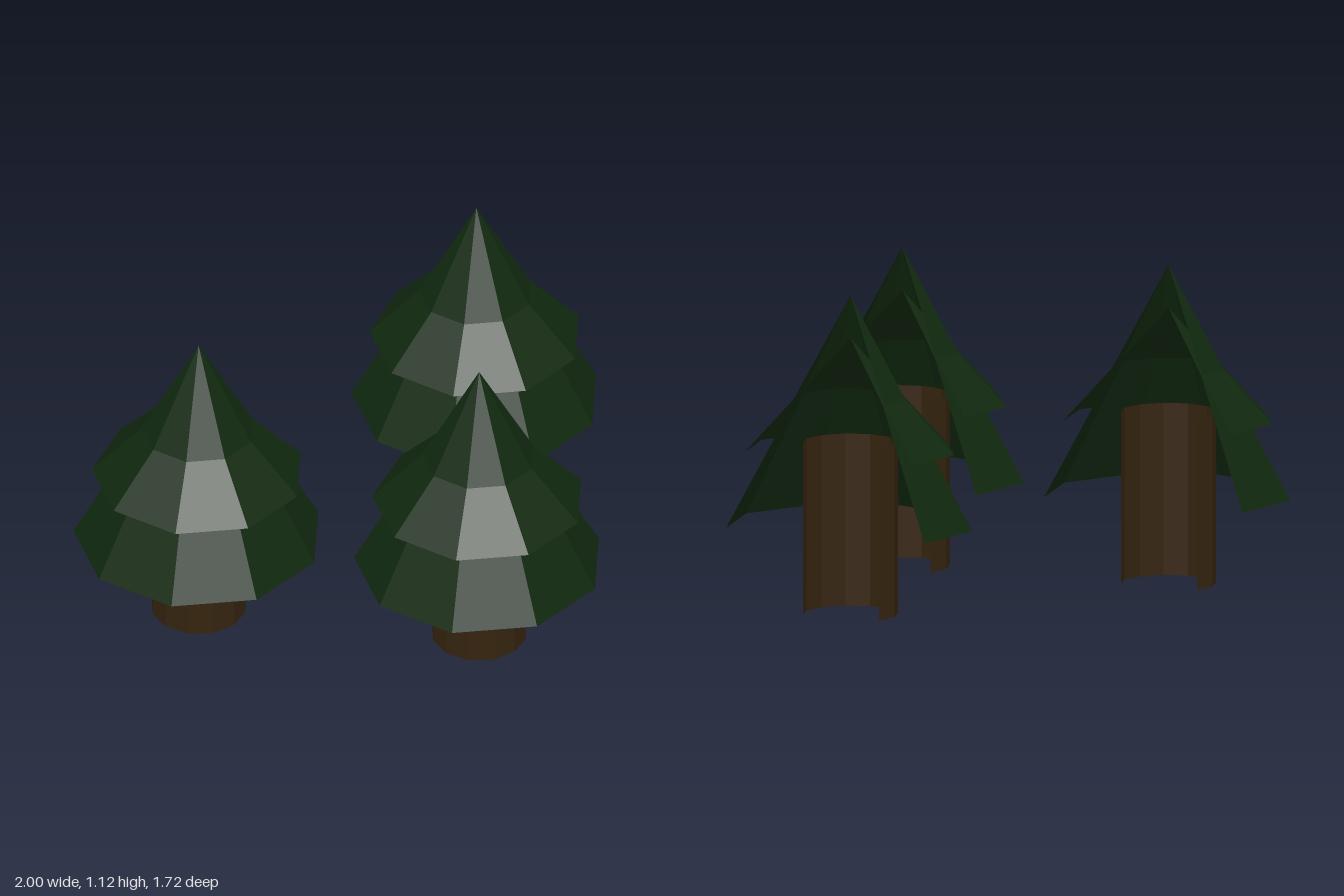
import * as THREE from 'three';

// Every shell is a 240 degree sweep, open towards the back and +x
const START = -Math.PI * 5 / 6;
const SWEEP = Math.PI * 4 / 3;

// Low-poly open shell from a [radius, height] profile, bottom to top
function shell(name, profile, segments, material) {
  const points = profile.map(([r, y]) => new THREE.Vector2(r, y));
  const geometry = new THREE.LatheGeometry(points, segments, START, SWEEP).toNonIndexed();
  geometry.computeVertexNormals();
  const mesh = new THREE.Mesh(geometry, material);
  mesh.name = name;
  return mesh;
}

export function createModel() {
  const needles = new THREE.MeshStandardMaterial({ color: 0x11290f, side: THREE.DoubleSide, flatShading: true });
  needles.name = 'dark green needles';
  const bark = new THREE.MeshStandardMaterial({ color: 0x35240f, side: THREE.DoubleSide, flatShading: true });
  bark.name = 'brown bark';

  const model = new THREE.Group();
  model.name = 'pineTrees';

  // Three identical trees at [x, z]
  const spots = [[-0.592, -0.01], [0.566, -0.485], [0.287, 0.43]];
  spots.forEach(([x, z], i) => {
    const tree = new THREE.Group();
    tree.name = `tree${i + 1}`;
    tree.add(
      shell('trunk', [[0.166, 0], [0.166, 0.605]], 8, bark),
      shell('lowerFoliage', [[0.434, 0.31], [0.19, 0.76], [0, 0.97]], 6, needles),
      shell('upperFoliage', [[0.37, 0.575], [0.197, 0.76], [0, 1.12]], 6, needles),
    );
    tree.position.set(x, 0, z);
    model.add(tree);
  });
  return model;
}
